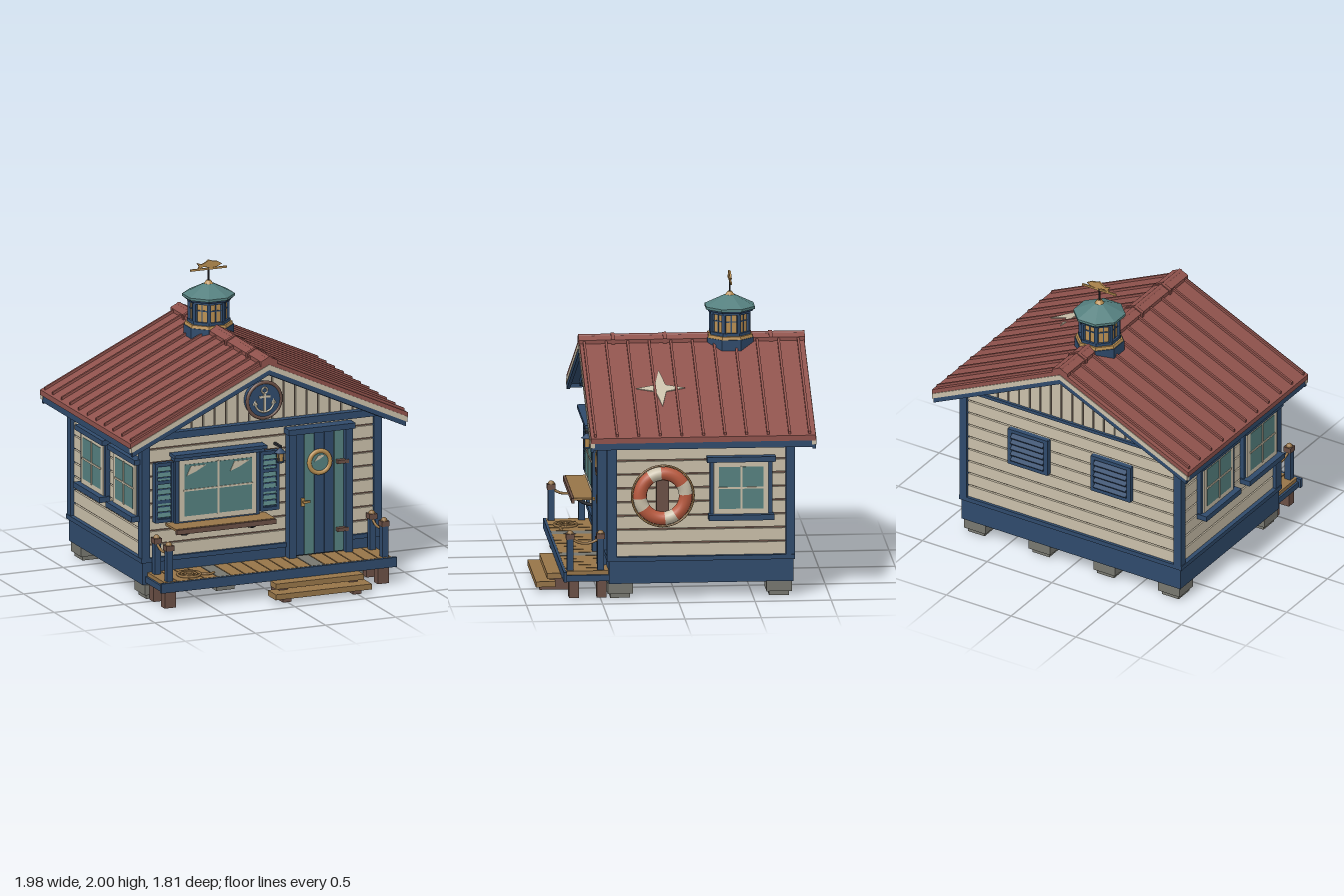
import * as THREE from 'three';

const mat = (name, color) => Object.assign(new THREE.MeshStandardMaterial({ color }), { name });
const cream = mat('cream paint', 0xc9bfa9), navy = mat('navy paint', 0x2f4a6b), teal = mat('teal', 0x55807f);
const red = mat('roof red', 0x8f524c), tan = mat('tan wood', 0x967448), brown = mat('brown wood', 0x6a4f45);
const grey = mat('stone grey', 0x77776f), orange = mat('buoy orange', 0xb95a3f), amber = mat('amber', 0xb98f52);
const iron = mat('dark iron', 0x2b2d33);
const PI = Math.PI, SLOPE = 0.465, RIDGE = 1.565;

function add(parent, name, geo, m, x = 0, y = 0, z = 0) {
  const mesh = new THREE.Mesh(geo, m);
  mesh.name = name;
  mesh.position.set(x, y, z);
  parent.add(mesh);
  return mesh;
}
function group(parent, name, x = 0, y = 0, z = 0, ry = 0) {
  const g = new THREE.Group();
  g.name = name;
  g.position.set(x, y, z);
  g.rotation.y = ry;
  parent.add(g);
  return g;
}
// box given by its ranges
const box = (p, name, m, x0, x1, y0, y1, z0, z1) =>
  add(p, name, new THREE.BoxGeometry(x1 - x0, y1 - y0, z1 - z0), m, (x0 + x1) / 2, (y0 + y1) / 2, (z0 + z1) / 2);
const shape = pts => new THREE.Shape(pts.map(p => new THREE.Vector2(p[0], p[1])));
const prism = (p, name, m, pts, z0, z1) =>
  add(p, name, new THREE.ExtrudeGeometry(shape(pts), { depth: z1 - z0, bevelEnabled: false }), m, 0, 0, z0);
// faceted eight-sided drum with flats facing the axes
function octagon(p, name, m, rTop, rBottom, y0, y1) {
  const geo = new THREE.CylinderGeometry(rTop, rBottom, y1 - y0, 8).rotateY(PI / 8).toNonIndexed();
  geo.computeVertexNormals();
  return add(p, name, geo, m, 0, (y0 + y1) / 2, 0);
}
// inverted V that follows both roof slopes
const chevron = (p, name, m, w, top, th, z0, z1) => prism(p, name, m, [
  [-w, top - SLOPE * w - th], [0, top - th], [w, top - SLOPE * w - th],
  [w, top - SLOPE * w], [0, top], [-w, top - SLOPE * w]], z0, z1);
const disc = (r, d) => new THREE.CylinderGeometry(r, r, d, 32).rotateX(PI / 2);
const tube = (pts, r) => new THREE.TubeGeometry(
  new THREE.CatmullRomCurve3(pts.map(p => new THREE.Vector3(...p))), 20, r, 8);

// framed window facing +z, centred on its group
function paneWindow(p, name, w, h, x, y, z, ry) {
  const g = group(p, name, x, y, z, ry), a = w / 2, b = h / 2;
  box(g, 'casing', navy, -a - 0.025, a + 0.025, -b - 0.02, b + 0.02, -0.01, 0.025);
  box(g, 'frame', cream, -a, a, -b, b, 0, 0.035);
  box(g, 'glass', teal, -a + 0.035, a - 0.035, -b + 0.035, b - 0.035, 0.03, 0.038);
  box(g, 'muntin', cream, -0.006, 0.006, -b + 0.03, b - 0.03, 0.03, 0.043);
  box(g, 'muntin', cream, -a + 0.03, a - 0.03, -0.006, 0.006, 0.03, 0.043);
  box(g, 'head', navy, -a - 0.045, a + 0.045, b, b + 0.035, 0, 0.06);
  return g;
}

function house(p) {
  for (const x of [-0.75, -0.25, 0.25, 0.75]) for (const z of [0.37, -0.672]) {
    box(p, 'footingCap', grey, x - 0.083, x + 0.083, 0.03, 0.1, z - 0.083, z + 0.083);
    box(p, 'footing', grey, x - 0.065, x + 0.065, 0, 0.03, z - 0.065, z + 0.065);
  }
  box(p, 'skirt', navy, -0.845, 0.845, 0.1, 0.25, -0.765, 0.445);
  box(p, 'skirtLedge', navy, -0.86, 0.86, 0.25, 0.28, -0.775, 0.46);
  // clapboards round a darker core
  box(p, 'wallCore', brown, -0.815, 0.815, 0.27, 1.1, -0.74, 0.425);
  for (let i = 0; i < 9; i++) {
    const y = 0.28 + i * 0.092;
    box(p, 'clapboard', cream, -0.83, 0.83, y, y + 0.081, -0.755, 0.44);
  }
  for (const s of [-1, 1]) {
    for (const [z0, z1] of [[0.395, 0.46], [-0.775, -0.715]])
      box(p, 'cornerBoard', navy, s * 0.8275 - 0.0275, s * 0.8275 + 0.0275, 0.25, 1.09, z0, z1);
  }
  // gables of vertical boards
  const top = x => 1.5 - SLOPE * Math.abs(x);
  prism(p, 'gableCore', brown, [[-0.82, 1.09], [0.82, 1.09], [0, top(0)]], -0.74, 0.425);
  for (let i = -10; i < 10; i++) {
    const a = i * 0.082 + 0.005, b = a + 0.071;
    prism(p, 'gableBoard', cream, [[a, 1.08], [b, 1.08], [b, top(b)], [a, top(a)]], -0.752, 0.44);
  }
  box(p, 'frontBeam', navy, -0.86, 0.86, 1.078, 1.125, 0.42, 0.49);
  box(p, 'backBeam', navy, -0.86, 0.86, 1.078, 1.1, -0.77, -0.74);
}

function roof(p) {
  chevron(p, 'roofSheet', red, 0.99, RIDGE, 0.035, -0.9, 0.575);
  chevron(p, 'soffit', navy, 0.975, RIDGE - 0.034, 0.035, -0.885, 0.56);
  for (const [z0, z1] of [[0.55, 0.58], [-0.905, -0.875]]) {
    chevron(p, 'rakeBoard', cream, 0.985, RIDGE - 0.03, 0.036, z0, z1);
    chevron(p, 'rakeTrim', navy, 0.975, RIDGE - 0.066, 0.034, z0 + 0.004, z1 - 0.004);
  }
  for (const [z0, z1] of [[0.43, 0.5], [-0.79, -0.74]]) chevron(p, 'gableTrim', navy, 0.86, RIDGE - 0.065, 0.045, z0, z1);
  for (const s of [-1, 1]) box(p, 'eaveFascia', navy, s * 0.97 - 0.012, s * 0.97 + 0.012, 1.025, 1.085, -0.89, 0.565);
  // standing seams and ridge cap
  for (let i = -1; i < 10; i++) {
    const z = i < 0 ? -0.86 : i > 8 ? 0.545 : -0.73 + i * 0.1415;
    chevron(p, 'seam', red, 0.975, RIDGE + 0.018, 0.03, z - 0.008, z + 0.008);
  }
  chevron(p, 'ridgeCap', red, 0.06, RIDGE + 0.024, 0.035, -0.905, 0.58);
  add(p, 'ridgeRoll', new THREE.CylinderGeometry(0.018, 0.018, 1.485, 12).rotateX(PI / 2), red, 0, 1.573, -0.1625);
  for (const z of [0.355, 0.015, -0.335, -0.68]) chevron(p, 'ridgeClip', red, 0.068, RIDGE + 0.032, 0.04, z - 0.012, z + 0.012);
  // four-pointed star patch
  const pts = [];
  for (let i = 0; i < 8; i++) {
    const r = i % 2 ? 0.05 : i % 4 ? 0.16 : 0.195, a = i * PI / 4;
    pts.push([r * Math.cos(a), r * Math.sin(a)]);
  }
  const star = add(p, 'starPatch', new THREE.ExtrudeGeometry(shape(pts), { depth: 0.006, bevelEnabled: false })
    .rotateX(-PI / 2), cream, 0.51, RIDGE - SLOPE * 0.51, 0.08);
  star.rotation.z = -Math.atan(SLOPE);
}

function cupola(p) {
  const g = group(p, 'cupola', 0, 0, -0.415);
  octagon(g, 'base', navy, 0.165, 0.165, 1.42, 1.565);
  octagon(g, 'baseTrim', amber, 0.155, 0.16, 1.565, 1.585);
  octagon(g, 'lowerRail', navy, 0.142, 0.142, 1.585, 1.605);
  octagon(g, 'lanternPanes', amber, 0.125, 0.125, 1.6, 1.74);
  octagon(g, 'upperRail', navy, 0.142, 0.142, 1.725, 1.745);
  for (let i = 0; i < 8; i++) {
    const a = (i + 0.5) * PI / 4, f = group(g, 'lanternSide', 0, 0, 0, i * PI / 4);
    const post = add(g, 'post', new THREE.BoxGeometry(0.026, 0.14, 0.02), navy, 0.127 * Math.sin(a), 1.665, 0.127 * Math.cos(a));
    post.rotation.y = a;
    box(f, 'glazingBar', navy, -0.004, 0.004, 1.6, 1.73, 0.11, 0.12);
    box(f, 'glazingBar', navy, -0.05, 0.05, 1.676, 1.684, 0.11, 0.12);
  }
  octagon(g, 'eaveBand', navy, 0.165, 0.155, 1.74, 1.755);
  octagon(g, 'eave', teal, 0.173, 0.173, 1.755, 1.772);
  octagon(g, 'cap', teal, 0.035, 0.173, 1.772, 1.84);
  // weathervane
  add(g, 'finial', new THREE.CylinderGeometry(0.014, 0.032, 0.025, 12), amber, 0, 1.85, 0);
  add(g, 'rod', new THREE.CylinderGeometry(0.006, 0.006, 0.13, 8), iron, 0, 1.92, 0);
  box(g, 'vaneArrow', amber, -0.13, 0.13, 1.932, 1.945, -0.005, 0.005);
  prism(g, 'vaneFish', amber, [[-0.075, 1.94], [-0.04, 1.955], [0.02, 1.945], [0.06, 1.95], [0.095, 1.965], [0.06, 1.985],
    [0.025, 1.99], [0, 2], [-0.02, 1.985], [-0.05, 1.972], [-0.085, 1.985], [-0.07, 1.962]], -0.006, 0.006);
}

function front(p) {
  // anchor medallion
  const m = group(p, 'medallion', 0, 1.275, 0.47);
  add(m, 'disc', disc(0.12, 0.06), navy);
  add(m, 'rim', new THREE.TorusGeometry(0.12, 0.012, 8, 40), brown, 0, 0, 0.025);
  box(m, 'anchorShank', cream, -0.008, 0.008, -0.08, 0.05, 0.03, 0.038);
  box(m, 'anchorStock', cream, -0.04, 0.04, 0.018, 0.032, 0.03, 0.038);
  add(m, 'anchorRing', new THREE.TorusGeometry(0.02, 0.006, 6, 20), cream, 0, 0.068, 0.033);
  add(m, 'anchorArms', new THREE.TorusGeometry(0.066, 0.007, 6, 20, PI), cream, 0, -0.012, 0.033).rotation.z = PI;
  for (const s of [-1, 1]) add(m, 'anchorFluke', new THREE.ConeGeometry(0.02, 0.035, 4), cream, s * 0.066, -0.01, 0.031).scale.z = 0.3;

  // large window with glints and shelf
  const w = paneWindow(p, 'frontWindow', 0.55, 0.42, -0.325, 0.72, 0.45, 0);
  box(w, 'headCap', navy, -0.33, 0.33, 0.235, 0.258, 0, 0.085);
  for (const x of [-0.225, 0.085])
    prism(w, 'glint', cream, [[x, 0.1], [x + 0.06, 0.12], [x + 0.14, 0.162], [x + 0.03, 0.162]], 0.038, 0.042);
  box(p, 'shelf', tan, -0.68, 0.03, 0.485, 0.5, 0.44, 0.61);
  box(p, 'shelfLip', brown, -0.68, 0.03, 0.465, 0.497, 0.605, 0.625);
  for (const x of [-0.57, -0.09])
    add(p, 'shelfBracket', tube([[x, 0.42, 0.45], [x, 0.44, 0.53], [x, 0.475, 0.59]], 0.011), iron);
  for (const x of [-0.705, 0.047]) {
    const s = group(p, 'shutter', x, 0.72, 0.45);
    box(s, 'shutterBack', navy, -0.066, 0.066, -0.2, 0.2, -0.01, 0.018);
    for (const e of [-1, 1]) box(s, 'stile', navy, e * 0.057 - 0.01, e * 0.057 + 0.01, -0.2, 0.2, 0, 0.035);
    for (const y of [-0.19, -0.06, 0.07, 0.19]) box(s, 'rail', navy, -0.06, 0.06, y - 0.012, y + 0.012, 0, 0.033);
    for (let i = 0; i < 9; i++)
      add(s, 'slat', new THREE.BoxGeometry(0.095, 0.028, 0.008), teal, 0, -0.155 + i * 0.039, 0.022).rotation.x = -0.4;
  }

  // wall lantern
  const l = group(p, 'lantern', 0.1, 0.9, 0.53);
  box(l, 'arm', iron, -0.008, 0.008, 0.05, 0.065, -0.09, 0.01);
  add(l, 'lampCap', new THREE.ConeGeometry(0.04, 0.035, 8), navy, 0, 0.035, 0);
  add(l, 'lampGlass', new THREE.CylinderGeometry(0.024, 0.02, 0.06, 8), amber, 0, -0.012, 0);
  add(l, 'lampFoot', new THREE.CylinderGeometry(0.026, 0.022, 0.012, 8), navy, 0, -0.045, 0);
  for (let i = 0; i < 4; i++)
    add(l, 'lampBar', new THREE.BoxGeometry(0.006, 0.06, 0.006), navy, 0.024 * Math.cos(i * PI / 2 + PI / 4), -0.012, 0.024 * Math.sin(i * PI / 2 + PI / 4));

  // plank door
  const d = group(p, 'door', 0, 0, 0.44);
  box(d, 'doorBack', iron, 0.2, 0.61, 0.18, 1.03, -0.01, 0.02);
  [navy, teal, navy, navy, teal].forEach((c, i) =>
    box(d, 'doorPlank', c, 0.225 + i * 0.071, 0.292 + i * 0.071, 0.19, 1.02, 0, 0.035));
  for (const x of [0.2, 0.605]) box(d, 'jamb', navy, x - 0.025, x + 0.025, 0.18, 1.03, 0, 0.065);
  box(d, 'doorHead', navy, 0.165, 0.64, 1.02, 1.058, 0, 0.085);
  add(d, 'porthole', disc(0.07, 0.02), teal, 0.402, 0.81, 0.035);
  add(d, 'portholeRim', new THREE.TorusGeometry(0.074, 0.015, 10, 32), amber, 0.402, 0.81, 0.042);
  prism(d, 'portholeGlint', cream, [[0.36, 0.815], [0.4, 0.83], [0.44, 0.855], [0.39, 0.855]], 0.045, 0.049);
  for (const y of [0.8, 0.34]) box(d, 'hinge', brown, 0.52, 0.6, y - 0.012, y + 0.012, 0.03, 0.07);
  box(d, 'handlePlate', amber, 0.27, 0.295, 0.52, 0.575, 0.03, 0.045);
  box(d, 'handle', amber, 0.275, 0.325, 0.546, 0.56, 0.055, 0.07);
}

function porch(p) {
  for (let i = 0; i < 17; i++) {
    const x = -0.81 + i * 0.0955;
    box(p, 'deckPlank', i === 4 || i === 11 ? grey : tan, x, x + 0.089, 0.155, 0.182, 0.44, 0.725);
  }
  box(p, 'deckJoist', brown, -0.79, 0.79, 0.115, 0.156, 0.56, 0.6);
  box(p, 'deckFascia', navy, -0.84, 0.84, 0.115, 0.18, 0.72, 0.742);
  for (const s of [-1, 1]) {
    const x = s * 0.768;
    box(p, 'deckSide', navy, s * 0.815 - 0.01, s * 0.815 + 0.01, 0.115, 0.156, 0.44, 0.725);
    for (const z of [0.695, 0.495]) {
      box(p, 'railPost', navy, x - 0.022, x + 0.022, 0.18, 0.395, z - 0.022, z + 0.022);
      box(p, 'postCap', brown, x - 0.028, x + 0.028, 0.39, 0.425, z - 0.028, z + 0.028);
      add(p, 'postKnob', new THREE.SphereGeometry(0.022, 12, 8), tan, x, 0.425, z);
    }
    add(p, 'rope', tube([[x, 0.395, 0.695], [x, 0.365, 0.64], [x, 0.358, 0.595], [x, 0.365, 0.55], [x, 0.395, 0.495]], 0.009), tan);
  }
  for (const x of [-0.76, 0.25, 0.76]) for (const z of [0.672, 0.49])
    box(p, 'deckPier', brown, x - 0.04, x + 0.04, 0, 0.15, z - 0.032, z + 0.032);
  for (const r of [0.025, 0.05, 0.075])
    add(p, 'ropeCoil', new THREE.TorusGeometry(r, 0.009, 6, 28).rotateX(PI / 2), tan, -0.59, 0.191, 0.615);
  add(p, 'ropeEnd', tube([[-0.515, 0.19, 0.615], [-0.5, 0.19, 0.65], [-0.46, 0.19, 0.66], [-0.42, 0.19, 0.64]], 0.008), tan);
  box(p, 'lowerStep', tan, -0.095, 0.59, 0.03, 0.067, 0.775, 0.905);
  box(p, 'upperStep', tan, -0.06, 0.565, 0.08, 0.117, 0.735, 0.83);
  for (const x of [0, 0.5]) {
    box(p, 'stringer', brown, x - 0.03, x + 0.03, 0, 0.032, 0.68, 0.875);
    box(p, 'stringer', brown, x - 0.03, x + 0.03, 0.03, 0.082, 0.68, 0.81);
  }
}

function sidesAndBack(p) {
  for (const [x, z] of [[0.835, -0.42], [-0.835, -0.33], [-0.835, 0.2]]) {
    const w = paneWindow(p, 'sideWindow', 0.36, 0.35, x, 0.735, z, Math.sign(x) * PI / 2);
    box(w, 'sill', navy, -0.215, 0.215, -0.212, -0.175, 0, 0.075);
  }
  // life ring
  const b = group(p, 'lifeRing', 0.875, 0.69, 0.095, PI / 2);
  for (let i = 0; i < 4; i++) {
    const a = 0.33 + i * PI / 2;
    add(b, 'ringBand', new THREE.TorusGeometry(0.15, 0.045, 12, 6, 0.5), cream).rotation.z = a - 0.25;
    add(b, 'ringBody', new THREE.TorusGeometry(0.15, 0.045, 12, 12, PI / 2 - 0.5), orange).rotation.z = a + 0.25;
  }
  add(b, 'ringRope', new THREE.TorusGeometry(0.203, 0.007, 6, 40), tan);
  box(b, 'ringMount', brown, -0.04, 0.04, -0.115, 0.115, -0.05, -0.01);
  // louvred vents
  for (const x of [-0.32, 0.32]) {
    const v = group(p, 'vent', x, 0.785, -0.755, PI);
    box(v, 'ventBack', navy, -0.15, 0.15, -0.125, 0.125, -0.01, 0.015);
    for (const s of [-1, 1]) {
      box(v, 'ventStile', navy, s * 0.14 - 0.015, s * 0.14 + 0.015, -0.13, 0.13, 0, 0.035);
      box(v, 'ventRail', navy, -0.15, 0.15, s * 0.12 - 0.012, s * 0.12 + 0.012, 0, 0.035);
    }
    for (let i = 0; i < 5; i++)
      add(v, 'louvre', new THREE.BoxGeometry(0.25, 0.012, 0.045), navy, 0, -0.085 + i * 0.043, 0.03).rotation.x = 0.5;
  }
}

export function createModel() {
  const model = new THREE.Group();
  model.name = 'boathouse';
  for (const [name, build] of Object.entries({ house, roof, cupola, front, porch, sidesAndBack })) build(group(model, name));
  return model;
}
